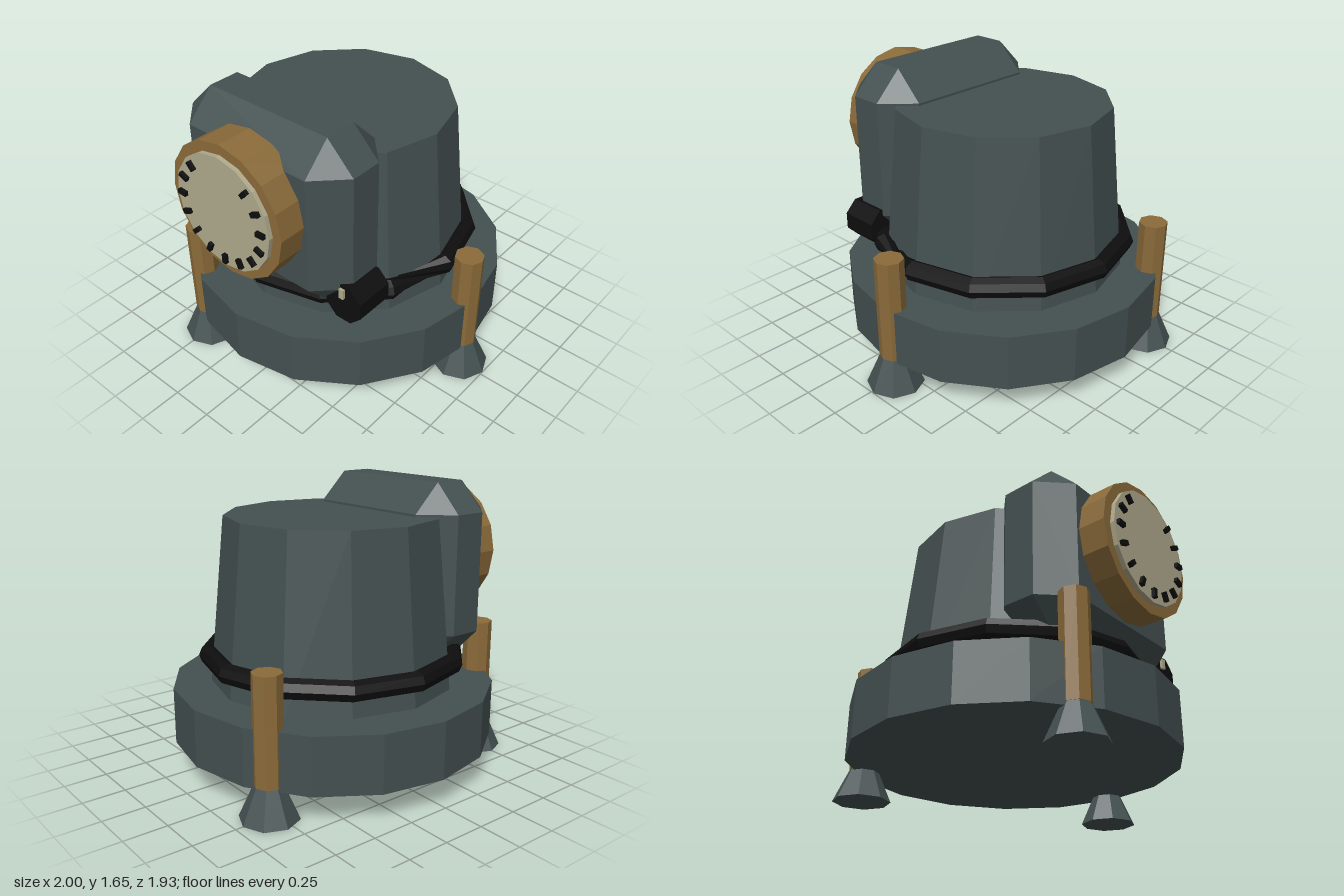
import * as THREE from 'three';
import { ConvexGeometry } from 'three/addons/geometries/ConvexGeometry.js';

const CX = -0.055, CZ = -0.02; // axis of the round body

export function createModel() {
  const model = new THREE.Group();
  model.name = 'gaugeDevice';

  const paint = (name, color) => {
    const m = new THREE.MeshStandardMaterial({ color, flatShading: true });
    m.name = name;
    return m;
  };
  const iron = paint('dark grey green', 0x445051);
  const brass = paint('brass', 0x8b6b3a);
  const cream = paint('cream', 0xb0aa8c);
  const black = paint('black', 0x0e0e0e);

  const add = (name, geometry, material, x = 0, y = 0, z = 0, parent = model) => {
    const mesh = new THREE.Mesh(geometry, material);
    mesh.name = name;
    mesh.position.set(x, y, z);
    parent.add(mesh);
    return mesh;
  };
  // upright cylinder between two heights
  const upright = (rTop, rBottom, y0, y1, sides) =>
    new THREE.CylinderGeometry(rTop, rBottom, y1 - y0, sides).translate(0, (y0 + y1) / 2, 0);
  // cylinder along z between two depths
  const facing = (r, z0, z1, sides) =>
    new THREE.CylinderGeometry(r, r, z1 - z0, sides).rotateX(Math.PI / 2).translate(0, 0, (z0 + z1) / 2);

  // Round base and tapered drum
  add('base', upright(0.943, 0.943, 0.17, 0.5, 16), iron, CX, 0, CZ);
  add('drum', upright(0.622, 0.722, 0.45, 1.47, 12), iron, CX, 0, CZ);

  // Three posts on flared feet
  for (let i = 0; i < 3; i++) {
    const a = (i * Math.PI * 2) / 3;
    const leg = new THREE.Group();
    leg.name = 'leg' + (i + 1);
    leg.position.set(CX + 0.89 * Math.cos(a), 0, CZ + 0.89 * Math.sin(a));
    add('post', upright(0.083, 0.083, 0.19, 0.8, 8), brass, 0, 0, 0, leg);
    add('foot', upright(0.08, 0.165, 0, 0.19, 8), iron, 0, 0, 0, leg);
    model.add(leg);
  }

  // Housing with all edges bevelled
  const half = [0.577, 0.512, 0.262], bevel = 0.166, corners = [];
  for (const sx of [-1, 1]) for (const sy of [-1, 1]) for (const sz of [-1, 1]) {
    for (let axis = 0; axis < 3; axis++) {
      const p = half.map((h, k) => (k === axis ? h : h - bevel));
      corners.push(new THREE.Vector3(p[0] * sx, p[1] * sy, p[2] * sz));
    }
  }
  add('housing', new ConvexGeometry(corners), iron, CX, 1.137, 0.498);

  // Dial with bezel and scale marks
  const dial = new THREE.Group();
  dial.name = 'dial';
  dial.position.set(CX, 1.2, 0);
  model.add(dial);
  add('bezel', facing(0.395, 0.71, 0.917, 16), brass, 0, 0, 0, dial);
  add('dialFace', facing(0.337, 0.9, 0.942, 16), cream, 0, 0, 0, dial);
  for (let i = -6; i <= 6; i++) {
    const a = THREE.MathUtils.degToRad(i * 23);
    const mark = add('scaleMark', new THREE.BoxGeometry(0.027, 0.055, 0.022), black,
      0.285 * Math.sin(a), -0.285 * Math.cos(a), 0.952, dial);
    mark.rotation.z = a;
  }

  // Strap around the drum, twisted in its last section
  const R = 0.725, t = 0.06;
  const strap = new THREE.TorusGeometry(R, t, 8, 12);
  const pos = strap.attributes.position, uv = strap.attributes.uv;
  for (let i = 0; i < pos.count; i++) {
    if (uv.getX(i) > 0.001) continue;
    const v = uv.getY(i) * Math.PI * 2 + 2.5;
    pos.setXYZ(i, R + t * Math.cos(v), 0, t * Math.sin(v));
  }
  strap.rotateX(Math.PI / 2);
  black.side = THREE.DoubleSide;
  add('strap', strap, black, CX, 0.657, CZ);

  // Clasp with a small light mark
  const clasp = add('clasp', facing(0.127, 0.41, 0.645, 8), black, 0.493, 0.712, 0);
  clasp.rotation.z = Math.PI / 8;
  add('claspMark', new THREE.BoxGeometry(0.03, 0.06, 0.02), cream, 0.49, 0.78, 0.651);

  return model;
}
